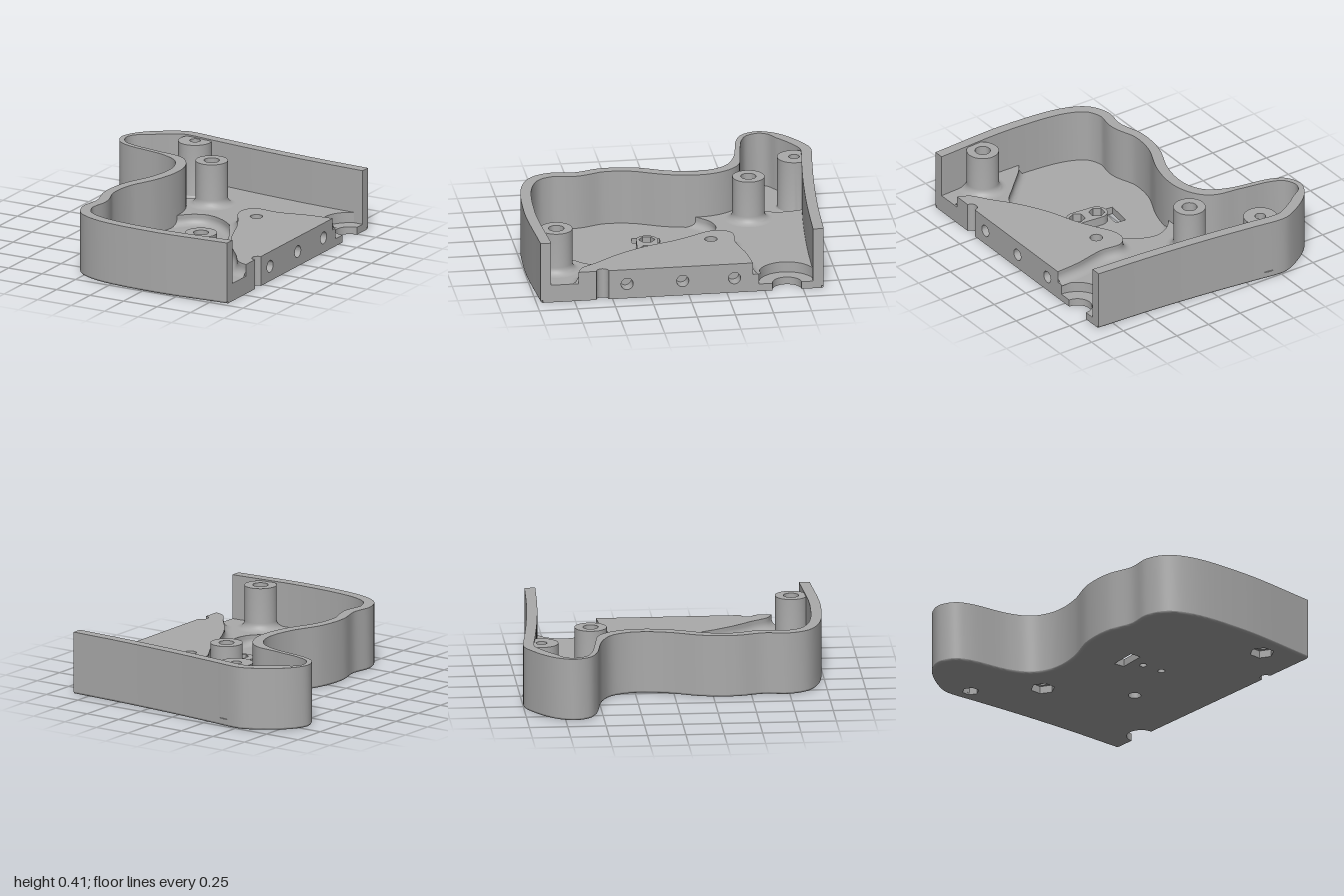
import * as THREE from 'three';
import { toCreasedNormals } from 'three/addons/utils/BufferGeometryUtils.js';

const EDGE = 0.865;                          // open, straight side of the shell
const TOP = 0.415, BASE = 0.05, MID = 0.12, DECK = 0.2;

const V = (x, z) => new THREE.Vector2(x, z); // plan points are (x, z)

// Smooth plan curve through a few points
function spline(pts, n) {
  const c = new THREE.CatmullRomCurve3(pts.map(([x, z]) => new THREE.Vector3(x, 0, z)), false, 'centripetal');
  return c.getSpacedPoints(n).map(p => V(p.x, p.z));
}

// Shift a path sideways (positive = to the left of travel, seen from above)
function offset(path, dist) {
  return path.map((p, i) => {
    const a = path[Math.max(i - 1, 0)], b = path[Math.min(i + 1, path.length - 1)];
    const t = b.clone().sub(a).normalize();
    const d = typeof dist === 'function' ? dist(p) : dist;
    const q = V(p.x + t.y * d, p.y - t.x * d);
    if (i === 0 || i === path.length - 1) q.x = p.x;
    return q;
  });
}

function circle(x, z, r, n = 32, turn = 0) {
  return Array.from({ length: n }, (_, i) => {
    const a = turn + i / n * Math.PI * 2;
    return V(x + r * Math.cos(a), z + r * Math.sin(a));
  });
}

// Half-round bite in the open side
function bite(z, r) {
  return Array.from({ length: 21 }, (_, i) => {
    const a = i / 20 * Math.PI;
    return V(EDGE - r * Math.sin(a), z + r * Math.cos(a));
  });
}

// Horizontal slab between two heights
function slab(outline, holes, y0, y1) {
  const flip = pts => pts.map(p => V(p.x, -p.y));
  const s = new THREE.Shape(flip(outline));
  s.holes = holes.map(h => new THREE.Path(flip(h)));
  const g = new THREE.ExtrudeGeometry(s, { depth: y1 - y0, bevelEnabled: false });
  g.rotateX(-Math.PI / 2).translate(0, y0, 0);
  return toCreasedNormals(g, 0.5);
}

// Strip swept along a path; profile is a list of [sideways, height]
function skirt(path, profile) {
  const pos = [], idx = [], n = path.length;
  for (const [d, y] of profile) for (const p of offset(path, d)) pos.push(p.x, y, p.y);
  for (let r = 0; r < profile.length - 1; r++) for (let i = 0; i < n - 1; i++) {
    const a = r * n + i, b = a + n;
    idx.push(a, a + 1, b, a + 1, b + 1, b);
  }
  const g = new THREE.BufferGeometry();
  g.setAttribute('position', new THREE.Float32BufferAttribute(pos, 3));
  g.setIndex(idx);
  return toCreasedNormals(g, 0.6);
}

// Concave quarter-round from a vertical face out onto the floor
function cove(base, y0, r, n = 7) {
  return Array.from({ length: n + 1 }, (_, i) => {
    const a = i / n * Math.PI / 2;
    return [base + r * (1 - Math.cos(a)), y0 + r * (1 - Math.sin(a))];
  });
}

export function createModel() {
  const model = new THREE.Group();
  const grey = new THREE.MeshStandardMaterial({ color: 0xaaaaaa, side: THREE.DoubleSide });
  grey.name = 'plain grey';
  const add = (name, geo) => {
    const m = new THREE.Mesh(geo, grey);
    m.name = name;
    model.add(m);
    return m;
  };

  // Outer outline, from the back of the open side round to the front
  const outer = spline([
    [EDGE, -0.885], [0.45, -0.905], [0.03, -0.94], [-0.28, -0.975], [-0.52, -1], [-0.59, -0.98],
    [-0.76, -0.87], [-0.835, -0.78], [-0.863, -0.69], [-0.82, -0.59], [-0.73, -0.54], [-0.44, -0.48],
    [-0.31, -0.41], [-0.25, -0.3], [-0.24, -0.185], [-0.27, -0.03], [-0.355, 0.185], [-0.372, 0.4],
    [-0.327, 0.585], [-0.342, 0.74], [-0.285, 0.87], [-0.13, 0.955], [0.29, 1], [EDGE, 0.973],
  ], 200);

  // Wall, thinner round the lower side of the tip
  const step = THREE.MathUtils.smoothstep;
  const inner = offset(outer, p => 0.07 - 0.035 * step(-p.x, 0.32, 0.5) * step(p.y, -0.87, -0.75));
  add('outerWall', slab([...outer, ...inner.slice().reverse()], [], 0.015, TOP));
  add('bottomRound', skirt(outer, [[0.015, 0], [0.0075, 0.002], [0.002, 0.0075], [0, 0.015]]));

  // Open side: round notch, recess for the drilled rail, pivot seat
  const railSide = [...bite(0.565, 0.04), V(EDGE, 0.5), V(0.78, 0.5), V(0.78, -0.4), V(EDGE, -0.4)];

  // Screw posts: x, z, outer radius, hole, hex pocket, top, floor, fillet
  const posts = [
    { name: 'tallPost', x: -0.1, z: -0.53, r: 0.105, hole: 0.05, hex: 0.08, top: TOP, floor: MID, fillet: 0.05 },
    { name: 'frontPost', x: 0.59, z: 0.83, r: 0.105, hole: 0.05, hex: 0.08, top: 0.405, floor: MID, fillet: 0.05 },
    { name: 'tipPost', x: -0.42, z: -0.875, r: 0.11, hole: 0.035, hex: 0.055, top: 0.405, floor: BASE, fillet: 0.015 },
  ];
  const deckHole = circle(0.415, -0.21, 0.041);
  const nuts = [[0.145, 0.172], [0.292, 0.185]];
  const slot = [V(-0.01, 0.065), V(0.063, 0.075), V(0.045, 0.255), V(-0.03, 0.247)];

  // Thin bottom with every through hole
  add('bottomPlate', slab(
    [...offset(outer, 0.015), ...railSide, ...bite(-0.645, 0.095)],
    [deckHole, slot, ...posts.map(p => circle(p.x, p.z, p.hex, 6)), ...nuts.map(n => circle(...n, 0.024, 20))],
    0, BASE));

  // Middle floor, cut away for the grip pocket and the tip pocket
  const gripEdge = spline([
    [0.22, 0.95], [0.27, 0.88], [0.43, 0.72], [0.54, 0.6], [0.553, 0.46], [0.44, 0.25], [0.36, 0.03],
    [0.3, -0.1], [0.2, -0.21], [0.1, -0.275], [0, -0.3], [-0.09, -0.27], [-0.16, -0.205], [-0.205, -0.15],
  ], 80);
  const tipEdge = spline([
    [-0.44, -0.5], [-0.36, -0.515], [-0.26, -0.57], [-0.195, -0.68], [-0.18, -0.78], [-0.21, -0.94],
  ], 40);
  add('middleFloor', slab([
    V(EDGE, 0.94), ...gripEdge, V(-0.205, -0.19), V(-0.215, -0.3), V(-0.285, -0.42), ...tipEdge,
    V(0.03, -0.9), V(0.45, -0.865), V(EDGE, -0.845),
    ...bite(-0.645, 0.185).reverse(), ...railSide.slice().reverse(),
  ], [deckHole, circle(-0.1, -0.53, 0.05), circle(0.59, 0.83, 0.05)], BASE, MID));
  for (const [name, edge] of [['gripPocketFillet', gripEdge], ['tipPocketFillet', tipEdge]])
    add(name, skirt(edge, [[0, MID], ...cove(0, BASE, 0.045)]));

  // Raised deck with its coved edge
  const deckEdge = spline([
    [EDGE, 0.725], [0.79, 0.69], [0.71, 0.58], [0.6, 0.44], [0.49, 0.25], [0.405, 0.03], [0.35, -0.08],
    [0.275, -0.22], [0.275, -0.31], [0.33, -0.365], [0.48, -0.36], [0.7, -0.405], [EDGE, -0.42],
  ], 80);
  add('raisedDeck', slab([...deckEdge, ...railSide.slice().reverse()], [deckHole], MID, DECK));
  add('deckFillet', skirt(deckEdge, [[0, DECK], ...cove(0, MID, 0.055)]));

  // Rail along the open side with three blind holes
  const rail = new THREE.Shape([V(-0.5, 0), V(0.4, 0), V(0.4, DECK), V(-0.5, DECK)]);
  rail.holes = [0.405, 0.04, -0.3].map(z => new THREE.Path(circle(-z, 0.1, 0.04)));
  const railGeo = new THREE.ExtrudeGeometry(rail, { depth: EDGE - 0.78, bevelEnabled: false });
  railGeo.rotateY(Math.PI / 2).translate(0.78, 0, 0);
  add('drilledRail', toCreasedNormals(railGeo, 0.5));

  // Hollow screw posts with a filleted foot
  for (const p of posts) {
    const foot = cove(p.r, p.floor, p.fillet).reverse();
    const profile = [...foot, [p.r, p.top], [p.hole, p.top], [p.hole, BASE], [p.r, BASE]];
    const g = new THREE.LatheGeometry(profile.map(([r, y]) => V(r, y)), 48);
    add(p.name, toCreasedNormals(g, 0.5)).position.set(p.x, 0, p.z);
  }

  // Two-nut pad in the grip pocket
  const [a, b] = nuts;
  const pad = [];
  const tilt = Math.atan2(b[1] - a[1], b[0] - a[0]);
  for (const [c, start] of [[a, Math.PI / 2], [b, -Math.PI / 2]])
    for (let i = 0; i <= 16; i++) {
      const t = tilt + start + i / 16 * Math.PI;
      pad.push(V(c[0] + 0.07 * Math.cos(t), c[1] + 0.07 * Math.sin(t)));
    }
  add('nutPad', slab(pad, nuts.map(n => circle(...n, 0.053, 6, tilt + Math.PI / 6)), BASE, 0.11));

  return model;
}
